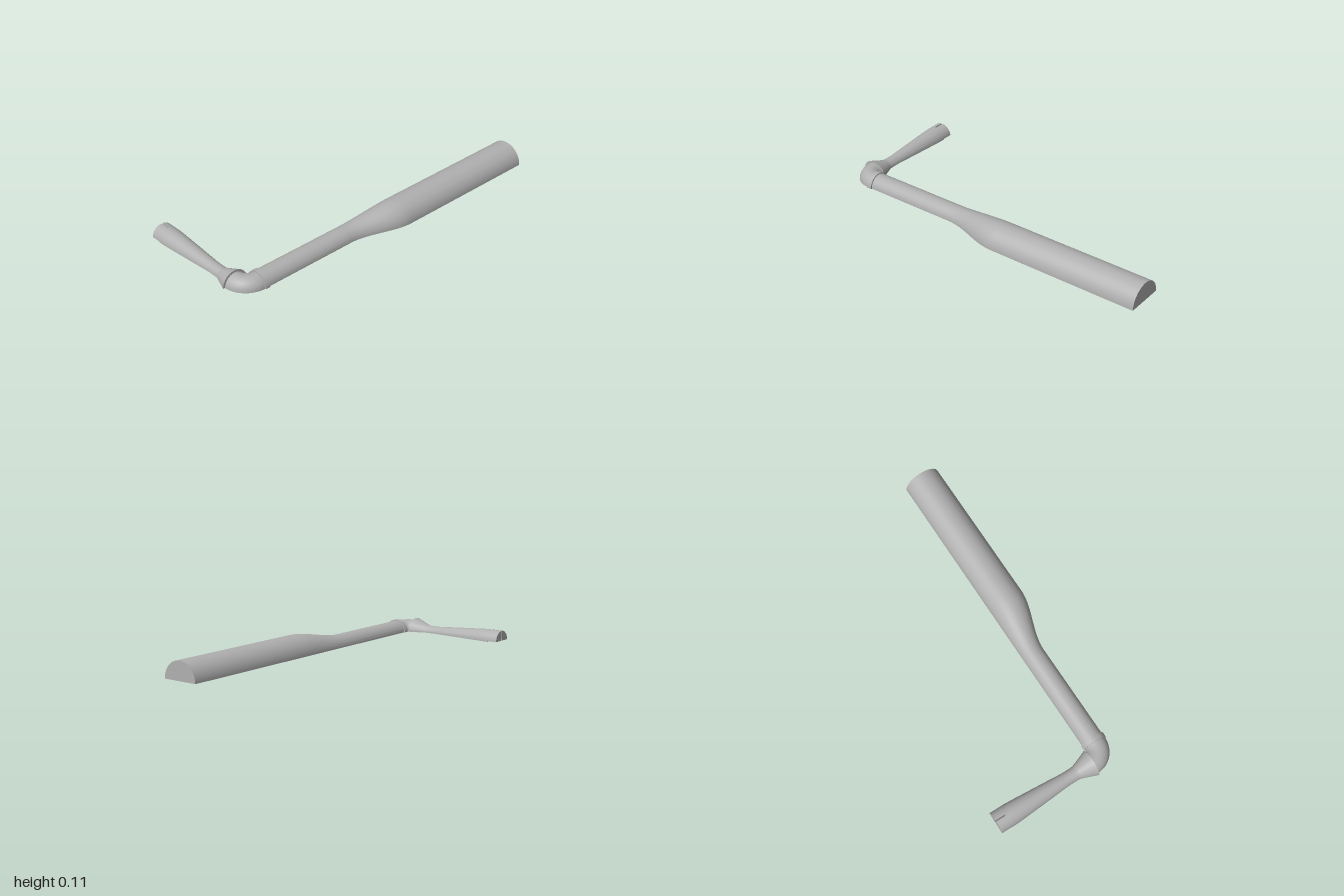
import * as THREE from 'three';
import { toCreasedNormals } from 'three/addons/utils/BufferGeometryUtils.js';

// Half-round section: flat side on the ground
const halfRound = r => Array.from({ length: 33 }, (_, i) => {
  const a = Math.PI * i / 32;
  return [r * Math.cos(a), i === 32 ? 0 : r * Math.sin(a)];
});

// Quarter-round section, held off the axis by a small gap
const GAP = 0.004;
const quarterRound = r => {
  const a0 = Math.asin(GAP / r), a1 = Math.PI / 2 - a0, pts = [[GAP, GAP]];
  for (let i = 0; i <= 16; i++) {
    const a = a0 + (a1 - a0) * i / 16;
    pts.push([r * Math.cos(a), r * Math.sin(a)]);
  }
  return pts;
};
const mirrored = pts => pts.map(([u, y]) => [-u, y]).reverse();

// Solid through stations { x, z, turn, pts }; turn 0 heads to +z, PI/2 to -x
function loft(stations) {
  const rings = stations.map(({ x, z, turn, pts }) => pts.map(([u, y]) =>
    [x + u * Math.cos(turn), y, z + u * Math.sin(turn)]));
  const n = rings[0].length, out = [];
  const tri = (a, b, c) => out.push(...a, ...b, ...c);
  for (let i = 0; i < rings.length - 1; i++) {
    for (let j = 0; j < n; j++) {
      const k = (j + 1) % n, p = rings[i], q = rings[i + 1];
      tri(p[j], p[k], q[j]);
      tri(p[k], q[k], q[j]);
    }
  }
  const first = rings[0], last = rings[rings.length - 1];
  for (let j = 1; j < n - 1; j++) {
    tri(first[0], first[j + 1], first[j]);
    tri(last[0], last[j], last[j + 1]);
  }
  const g = new THREE.BufferGeometry();
  g.setAttribute('position', new THREE.Float32BufferAttribute(out, 3));
  return toCreasedNormals(g, 0.6);
}

export function createModel() {
  const group = new THREE.Group();
  const grey = new THREE.MeshStandardMaterial({ color: 0xb0b0b0 });
  grey.name = 'grey';
  const add = (name, stations) => {
    const mesh = new THREE.Mesh(loft(stations), grey);
    mesh.name = name;
    group.add(mesh);
  };

  const EDGE = 0.203, R = 0.064, BIG = 0.1075;  // straight inner edge, pipe radii
  const ELBOW_Z = 0.845, BEND = 0.078, HORN_X = 0.19, HORN_Z = ELBOW_Z + BEND;

  // Long pipe: wide at the back, eased down to the narrow front
  const along = (z, r) => ({ x: EDGE + r, z, turn: 0, pts: halfRound(r) });
  const pipe = [along(-1, BIG)];
  for (let i = 0; i <= 20; i++) {
    const t = i / 20;
    pipe.push(along(-0.11 + 0.36 * t, BIG + (R - BIG) * t * t * (3 - 2 * t)));
  }
  pipe.push(along(ELBOW_Z, R));
  add('longPipe', pipe);

  // Collar where the pipe meets the elbow
  add('collar', [0.815, ELBOW_Z].map(z =>
    ({ x: HORN_X + BEND, z, turn: 0, pts: halfRound(0.07) })));

  // Quarter-turn elbow
  add('elbow', Array.from({ length: 25 }, (_, i) => {
    const turn = Math.PI / 2 * i / 24;
    return {
      x: HORN_X + BEND * Math.cos(turn), z: ELBOW_Z + BEND * Math.sin(turn),
      turn, pts: halfRound(R)
    };
  }));

  // Side arm: flared mouth, narrow neck, widening again to the end
  const across = (x, pts) => ({ x, z: HORN_Z, turn: Math.PI / 2, pts });
  const profile = [[HORN_X, 0.076], [0.1, 0.042], [0.092, 0.0398], [0.08, 0.0385],
    [0.03, 0.0385], [0, 0.04], [-0.07, 0.0455], [-0.29, 0.061], [-0.33, 0.063], [-0.36, 0.063]];
  add('sideArm', profile.map(([x, r]) => across(x, halfRound(r))));

  // Slotted tip: two prongs with a gap between and below them
  const prong = quarterRound(0.063);
  [['leftProng', prong], ['rightProng', mirrored(prong)]].forEach(([name, pts]) =>
    add(name, [across(-0.36, pts), across(-0.42, pts)]));

  return group;
}
